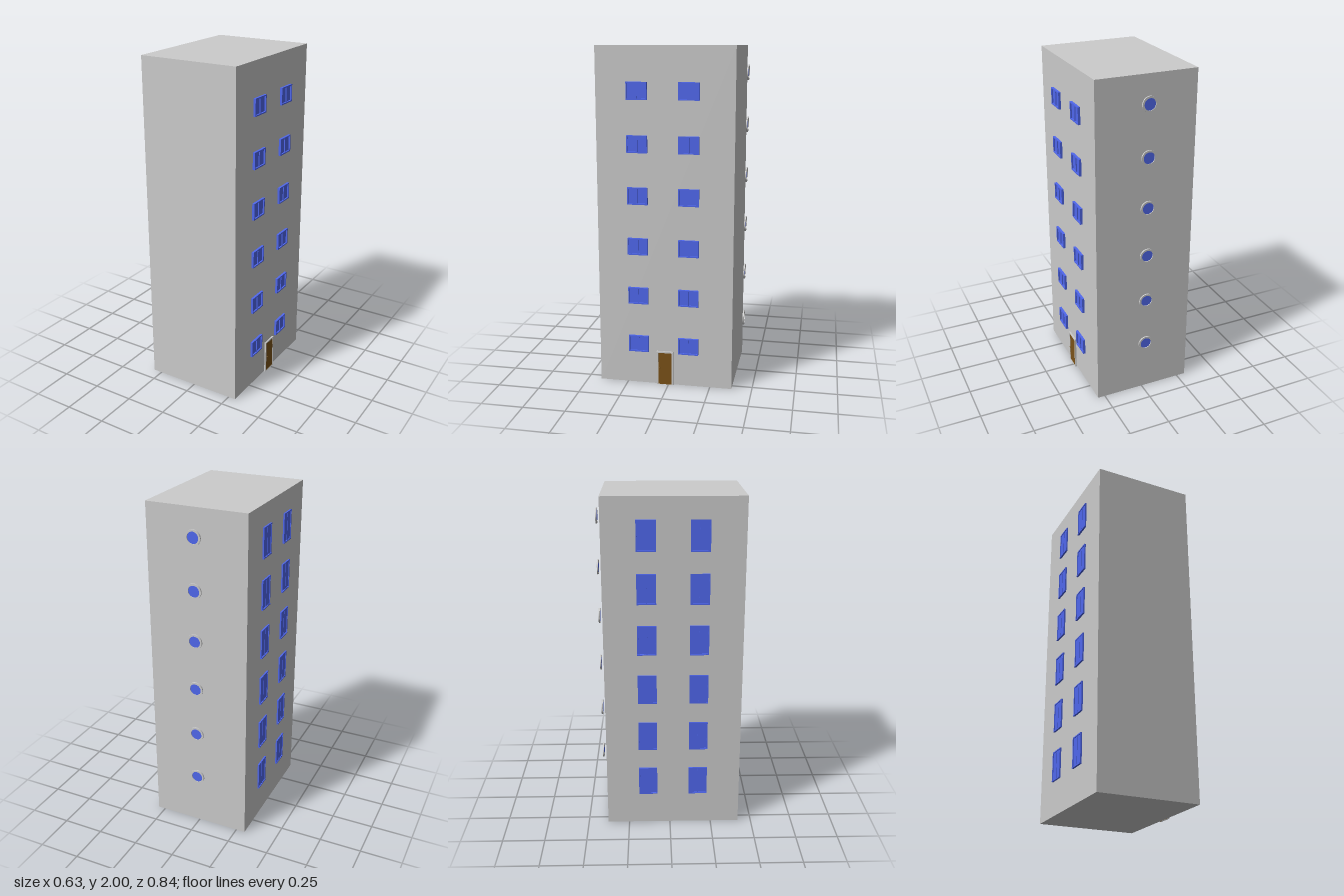
import * as THREE from 'three';

const grey = new THREE.MeshStandardMaterial({ color: 0xcccccc });
const blue = new THREE.MeshStandardMaterial({ color: 0x5068ee });
const brown = new THREE.MeshStandardMaterial({ color: 0x7a5218 });

function add(parent, name, geometry, material, x, y, z) {
  const mesh = new THREE.Mesh(geometry, material);
  mesh.name = name;
  mesh.position.set(x, y, z);
  parent.add(mesh);
  return mesh;
}

function box(parent, name, material, w, h, d, x, y, z) {
  return add(parent, name, new THREE.BoxGeometry(w, h, d), material, x, y, z);
}

// Rectangular border extruded along +z, standing on y = 0
function border(w, h, bar, bottom, depth) {
  const rect = (T, x, y0, y1) =>
    new T([[-x, y0], [x, y0], [x, y1], [-x, y1]].map(([a, b]) => new THREE.Vector2(a, b)));
  const shape = rect(THREE.Shape, w / 2, 0, h);
  shape.holes.push(rect(THREE.Path, w / 2 - bar, bottom, h - bar));
  return new THREE.ExtrudeGeometry(shape, { depth, bevelEnabled: false });
}

// Two-pane window facing +z with its back at z = 0
function makeWindow(w, h, depth, sill) {
  const g = new THREE.Group();
  const bar = 0.007;
  add(g, 'windowFrame', border(w, h, bar, bar, depth), blue, 0, 0, 0);
  box(g, 'glass', blue, w - bar, h - bar, 0.004, 0, h / 2, 0.003);
  box(g, 'mullion', blue, 0.006, h - bar, depth * 0.8, 0, h / 2, depth * 0.4);
  if (sill) box(g, 'windowSill', blue, w, 0.006, depth + 0.002, 0, 0.003, depth / 2 + 0.001);
  return g;
}

// Round window facing +z with its back at z = 0
function makePorthole() {
  const g = new THREE.Group();
  const ring = new THREE.Shape().absarc(0, 0, 0.045, 0, Math.PI * 2);
  ring.holes.push(new THREE.Path().absarc(0, 0, 0.034, 0, Math.PI * 2, true));
  add(g, 'portholeRing',
    new THREE.ExtrudeGeometry(ring, { depth: 0.008, bevelEnabled: false, curveSegments: 16 }),
    grey, 0, 0, 0);
  const glass = add(g, 'portholeGlass', new THREE.CylinderGeometry(0.035, 0.035, 0.003, 32),
    blue, 0, 0, 0.002);
  glass.rotation.x = Math.PI / 2;
  return g;
}

function makeDoor() {
  const g = new THREE.Group();
  add(g, 'doorFrame', border(0.1, 0.21, 0.009, 0.001, 0.009), grey, 0, 0, 0);
  box(g, 'doorPanel', brown, 0.083, 0.201, 0.005, 0, 0.1005, 0.0035);
  // Handle on both faces of the door
  const spindle = add(g, 'handleSpindle', new THREE.CylinderGeometry(0.002, 0.002, 0.013, 10),
    brown, -0.031, 0.104, 0.0065);
  spindle.rotation.x = Math.PI / 2;
  for (const z of [0.0005, 0.0125])
    add(g, 'doorKnob', new THREE.SphereGeometry(0.004, 12, 8), brown, -0.031, 0.104, z).scale.z = 0.5;
  return g;
}

export function createModel() {
  const model = new THREE.Group();
  model.name = 'apartmentTower';
  box(model, 'buildingBody', grey, 0.6, 2, 0.8, -0.005, 1, 0.02);

  const place = (part, name, x, y, z, turn) => {
    part.name = name;
    part.position.set(x, y, z);
    part.rotation.y = turn;
    model.add(part);
  };

  // Six storeys: two windows on each long side, one porthole at the back
  for (let i = 0; i < 6; i++) {
    const y = 0.2 + 0.3 * i;
    for (const z of [-0.12, 0.18])
      place(makeWindow(0.12, 0.1, 0.014, false), 'shortWindow', 0.295, y, z, Math.PI / 2);
    for (const z of [-0.132, 0.168])
      place(makeWindow(0.11, 0.175, 0.009, true), 'tallWindow', -0.305, y, z, -Math.PI / 2);
    place(makePorthole(), 'porthole', -0.005, y + 0.145, -0.412, Math.PI);
  }
  place(makeDoor(), 'door', 0.299, 0, 0.02, Math.PI / 2);
  return model;
}
